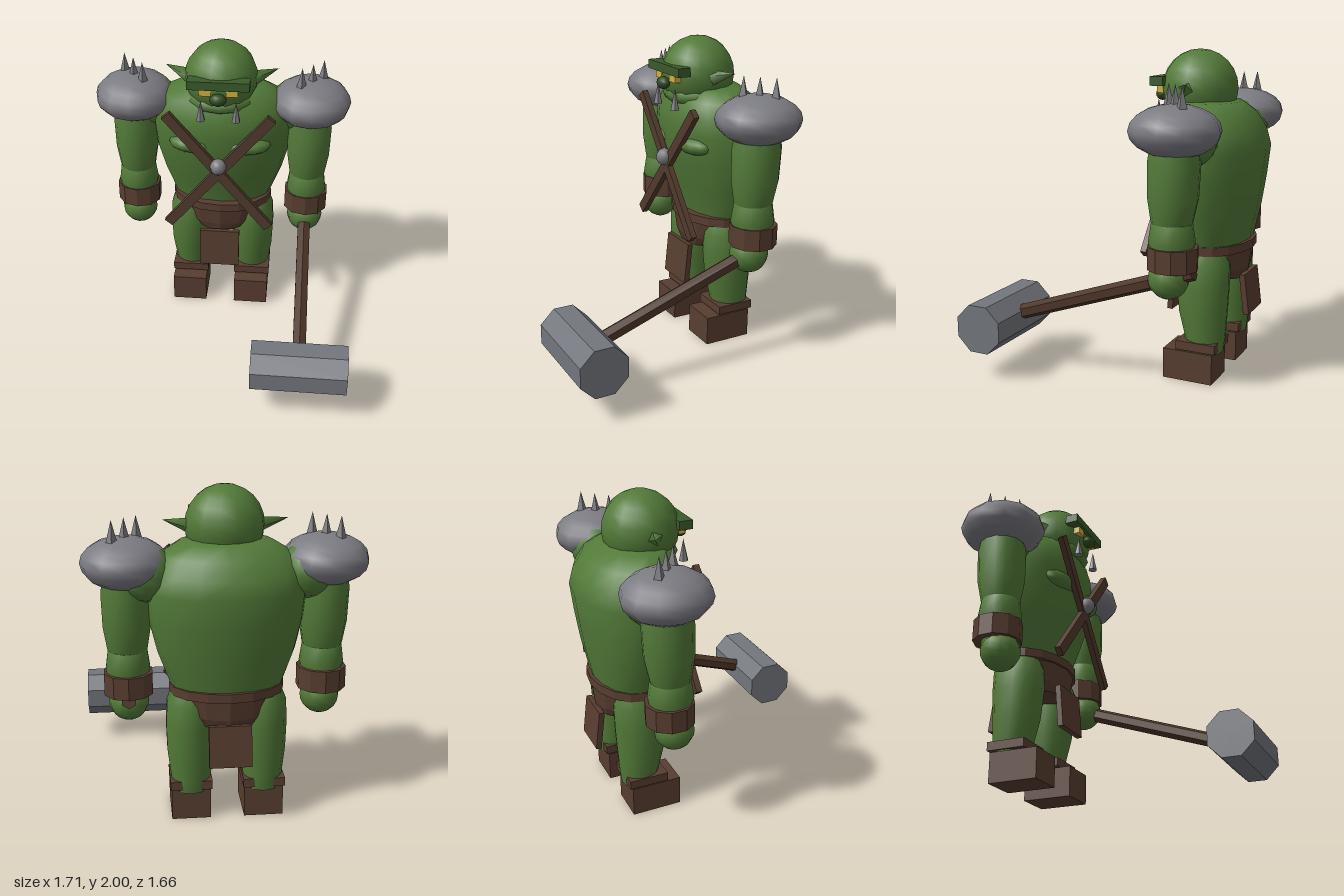
import * as THREE from 'three';

const mat = (name, color) => {
  const m = new THREE.MeshStandardMaterial({ color });
  m.name = name;
  return m;
};

export function createModel() {
  const skin = mat('green skin', 0x527a38);
  const brow = mat('dark green', 0x3a5a2a);
  const noseMat = mat('nose green', 0x2f4a22);
  const leather = mat('brown leather', 0x583d30);
  const strapMat = mat('dark leather', 0x513a2c);
  const wood = mat('wood', 0x4c3427);
  const metal = mat('grey metal', 0x7b7b82);
  const steel = mat('hammer steel', 0x73767d);
  const yellow = mat('yellow eyes', 0xd4b040);
  [leather, strapMat, wood, steel, yellow].forEach((m) => { m.flatShading = true; });
  const spikeMat = mat('spike grey', 0x7e7e82);
  spikeMat.flatShading = true;

  const body = new THREE.Group();
  body.name = 'body';
  body.position.x = -0.024;

  const add = (name, geo, material, x, y, z) => {
    const m = new THREE.Mesh(geo, material);
    m.name = name;
    m.position.set(x, y, z);
    body.add(m);
    return m;
  };
  const box = (name, material, w, h, d, x, y, z) =>
    add(name, new THREE.BoxGeometry(w, h, d), material, x, y, z);
  const ball = (name, material, rx, ry, rz, x, y, z, seg = 12, rows = 10) =>
    add(name, new THREE.SphereGeometry(1, seg, rows).scale(rx, ry, rz), material, x, y, z);

  // Elliptical rings [y, half width, centre z, half depth] joined bottom to top
  const loft = (name, material, rings, x = 0, seg = 16) => {
    const pos = [], idx = [];
    rings.forEach(([y, a, cz, b], i) => {
      for (let j = 0; j < seg; j++) {
        const t = (j / seg) * Math.PI * 2;
        pos.push(a * Math.sin(t), y, cz + b * Math.cos(t));
        if (i < rings.length - 1) {
          const p = i * seg + j, q = i * seg + ((j + 1) % seg);
          idx.push(p, q, q + seg, p, q + seg, p + seg);
        }
      }
    });
    const g = new THREE.BufferGeometry();
    g.setAttribute('position', new THREE.Float32BufferAttribute(pos, 3));
    g.setIndex(idx);
    g.computeVertexNormals();
    return add(name, g, material, x, 0, 0);
  };

  // Cylinder or cone running between two points
  const rod = (name, material, from, to, r0, r1, seg) => {
    const a = new THREE.Vector3(...from), b = new THREE.Vector3(...to);
    const dir = b.clone().sub(a);
    const m = add(name, new THREE.CylinderGeometry(r1, r0, dir.length(), seg), material, 0, 0, 0);
    m.position.copy(a).add(b).multiplyScalar(0.5);
    m.quaternion.setFromUnitVectors(new THREE.Vector3(0, 1, 0), dir.normalize());
    return m;
  };

  // Torso and pelvis
  loft('torso', skin, [
    [0.78, 0.3, -0.54, 0.19], [0.86, 0.335, -0.545, 0.2], [1.05, 0.405, -0.535, 0.25],
    [1.24, 0.452, -0.518, 0.295], [1.42, 0.47, -0.515, 0.318], [1.52, 0.455, -0.505, 0.3],
    [1.62, 0.39, -0.49, 0.255], [1.69, 0.27, -0.47, 0.19], [1.72, 0.01, -0.45, 0.01],
  ]);
  loft('belt', leather, [
    [0.8, 0.001, -0.53, 0.001], [0.8, 0.34, -0.53, 0.237], [0.855, 0.34, -0.53, 0.237],
    [0.855, 0.001, -0.53, 0.001],
  ]);
  loft('hipWrap', leather, [
    [0.62, 0.001, -0.53, 0.001], [0.62, 0.2, -0.53, 0.2], [0.68, 0.26, -0.53, 0.215],
    [0.81, 0.3, -0.53, 0.228],
  ], 0, 12);
  box('frontLoincloth', leather, 0.27, 0.27, 0.035, 0, 0.51, -0.285).rotation.x = -0.09;
  box('backLoincloth', leather, 0.25, 0.25, 0.035, 0, 0.53, -0.76).rotation.x = 0.13;

  // Crossed chest straps
  for (const s of [-1, 1]) {
    box('chestStrap', strapMat, 0.065, 1.055, 0.038, 0, 1.18, -0.191).rotation.z = s * 0.69;
  }
  ball('strapStud', metal, 0.053, 0.055, 0.053, 0, 1.235, -0.168, 10, 8);

  // Head
  ball('head', skin, 0.233, 0.233, 0.233, 0, 1.767, -0.406, 14, 12);
  ball('jaw', skin, 0.225, 0.085, 0.2, 0, 1.635, -0.39, 12, 8);
  ball('nose', noseMat, 0.054, 0.04, 0.04, 0, 1.72, -0.157, 10, 8);
  box('brow', brow, 0.388, 0.056, 0.085, 0, 1.81, -0.198);

  // Paired parts, left then right
  for (const s of [1, -1]) {
    box('eye', yellow, 0.074, 0.045, 0.05, s * 0.085, 1.758, -0.197);
    rod('tusk', spikeMat, [s * 0.111, 1.565, -0.18], [s * 0.111, 1.7, -0.18], 0.03, 0, 6);
    rod('ear', skin, [s * 0.17, 1.755, -0.385], [s * 0.362, 1.81, -0.458], 0.06, 0, 4);
    ball('pectoral', skin, 0.16, 0.065, 0.1, s * 0.172, 1.345, -0.295, 12, 8);

    // Arm
    const ax = s * 0.578;
    ball('shoulder', skin, 0.165, 0.165, 0.165, s * 0.465, 1.52, -0.53);
    loft('upperArm', skin, [
      [1.03, 0.105, -0.475, 0.11], [1.06, 0.12, -0.475, 0.122], [1.2, 0.142, -0.48, 0.148],
      [1.4, 0.147, -0.485, 0.153], [1.6, 0.12, -0.49, 0.12],
    ], ax, 14);
    loft('forearm', skin, [
      [0.76, 0.1, -0.475, 0.1], [0.94, 0.133, -0.475, 0.137], [1.05, 0.118, -0.475, 0.12],
      [1.08, 0.09, -0.475, 0.09],
    ], ax, 14);
    add('wristCuff', new THREE.CylinderGeometry(0.149, 0.149, 0.135, 10), leather, ax, 0.85, -0.482);
    ball('hand', skin, 0.12, 0.122, 0.122, ax, 0.722, -0.457);

    // Shoulder plate with a slanted row of spikes
    ball('shoulderPlate', metal, 0.257, 0.151, 0.267, ax, 1.574, -0.488, 12, 10);
    for (const k of [-1, 0, 1]) {
      const x = ax + s * k * 0.069, z = -0.488 - k * 0.069;
      rod('shoulderSpike', spikeMat, [x, 1.69, z], [x, 1.832, z], 0.036, 0, 4);
    }

    // Leg and boot
    loft('leg', skin, [
      [0.18, 0.115, -0.55, 0.115], [0.26, 0.122, -0.55, 0.125], [0.42, 0.142, -0.535, 0.15],
      [0.6, 0.148, -0.53, 0.165], [0.74, 0.14, -0.53, 0.165], [0.84, 0.1, -0.53, 0.12],
    ], s * 0.218, 14);
    box('bootCuff', leather, 0.252, 0.055, 0.25, s * 0.22, 0.228, -0.53);
    box('boot', leather, 0.237, 0.19, 0.318, s * 0.22, 0.095, -0.478);
  }

  // War hammer held in the left hand
  rod('hammerHandle', wood, [0.578, 0.775, -0.61], [0.578, 0.345, 0.62], 0.047, 0.047, 6);
  const hammerHead = new THREE.CylinderGeometry(0.161, 0.161, 0.593, 8);
  hammerHead.rotateY(Math.PI / 8).rotateZ(Math.PI / 2);
  add('hammerHead', hammerHead, steel, 0.578, 0.327, 0.675);

  const model = new THREE.Group();
  model.name = 'hammerBrute';
  model.add(body);
  return model;
}
